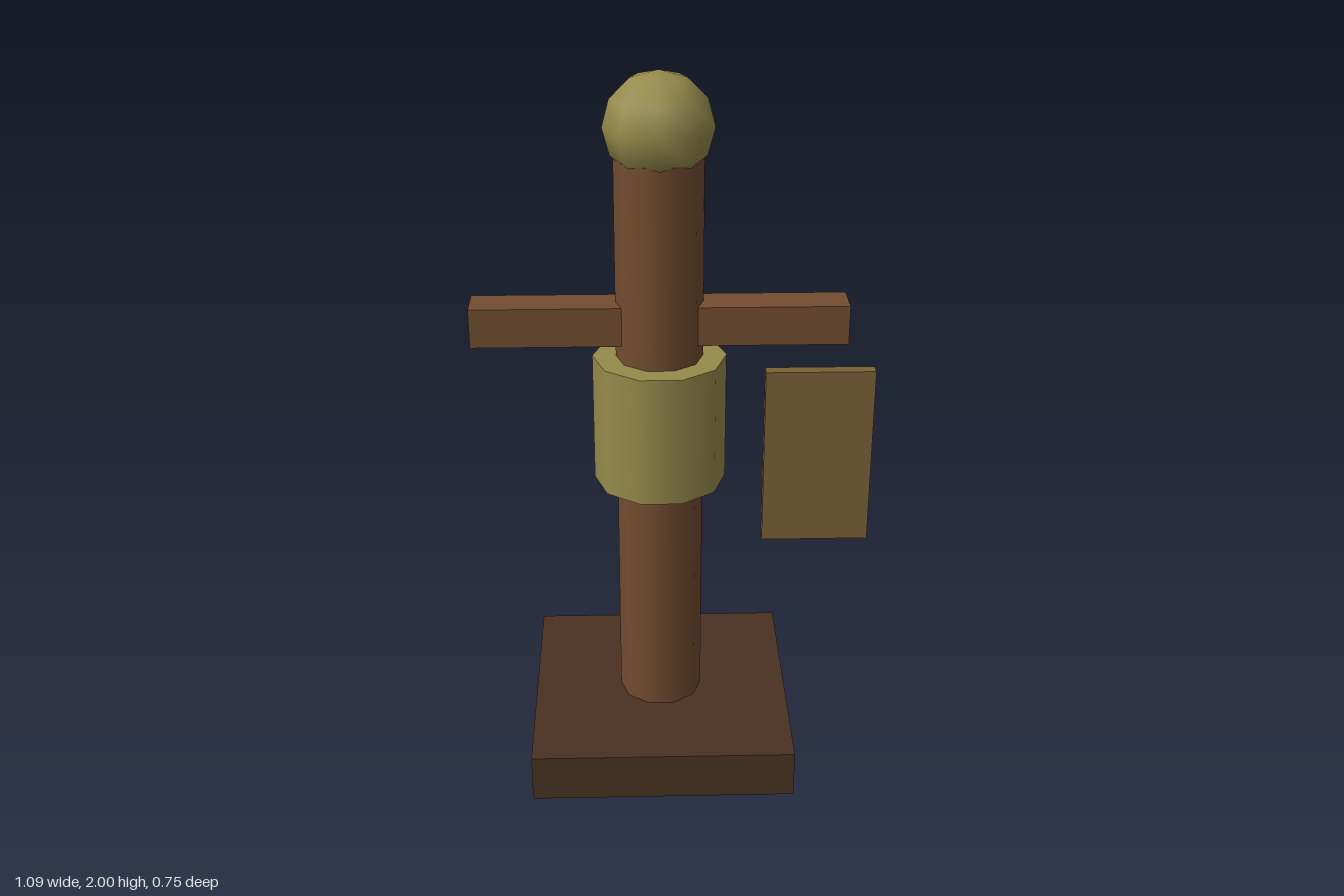
import * as THREE from 'three';

const CX = -0.035; // axis of the post

export function createModel() {
  const group = new THREE.Group();
  const mat = (color) => new THREE.MeshStandardMaterial({ color });
  const darkWood = mat(0x4a3222);
  const wood = mat(0x724c30);
  const brass = mat(0x968b4c);
  const panel = mat(0x7b6138);

  const add = (name, geometry, material, x, y, z = 0) => {
    const mesh = new THREE.Mesh(geometry, material);
    mesh.name = name;
    mesh.position.set(x, y, z);
    group.add(mesh);
    return mesh;
  };

  // Ten-sided upright drum with corners on the x axis
  const drum = (name, radius, y0, y1, material) =>
    add(name, new THREE.CylinderGeometry(radius, radius, y1 - y0, 10, 1, false, Math.PI / 2),
      material, CX, (y0 + y1) / 2);

  // Square foot and post
  add('base', new THREE.BoxGeometry(0.747, 0.14, 0.747), darkWood, CX, 0.07);
  drum('post', 0.12, 0.14, 1.775, wood);

  // Collar around the post and knob on top
  drum('collar', 0.185, 0.845, 1.217, brass);
  add('knob', new THREE.SphereGeometry(0.148, 8, 6), brass, CX, 1.852);

  // Mirrored cross arms
  for (const side of [-1, 1]) {
    add(side > 0 ? 'leftArm' : 'rightArm', new THREE.BoxGeometry(0.41, 0.11, 0.11),
      wood, CX + side * 0.308, 1.32);
  }

  // Thin board hanging beside the collar
  add('board', new THREE.BoxGeometry(0.297, 0.512, 0.036), panel, 0.397, 0.96, 0.112);

  return group;
}
